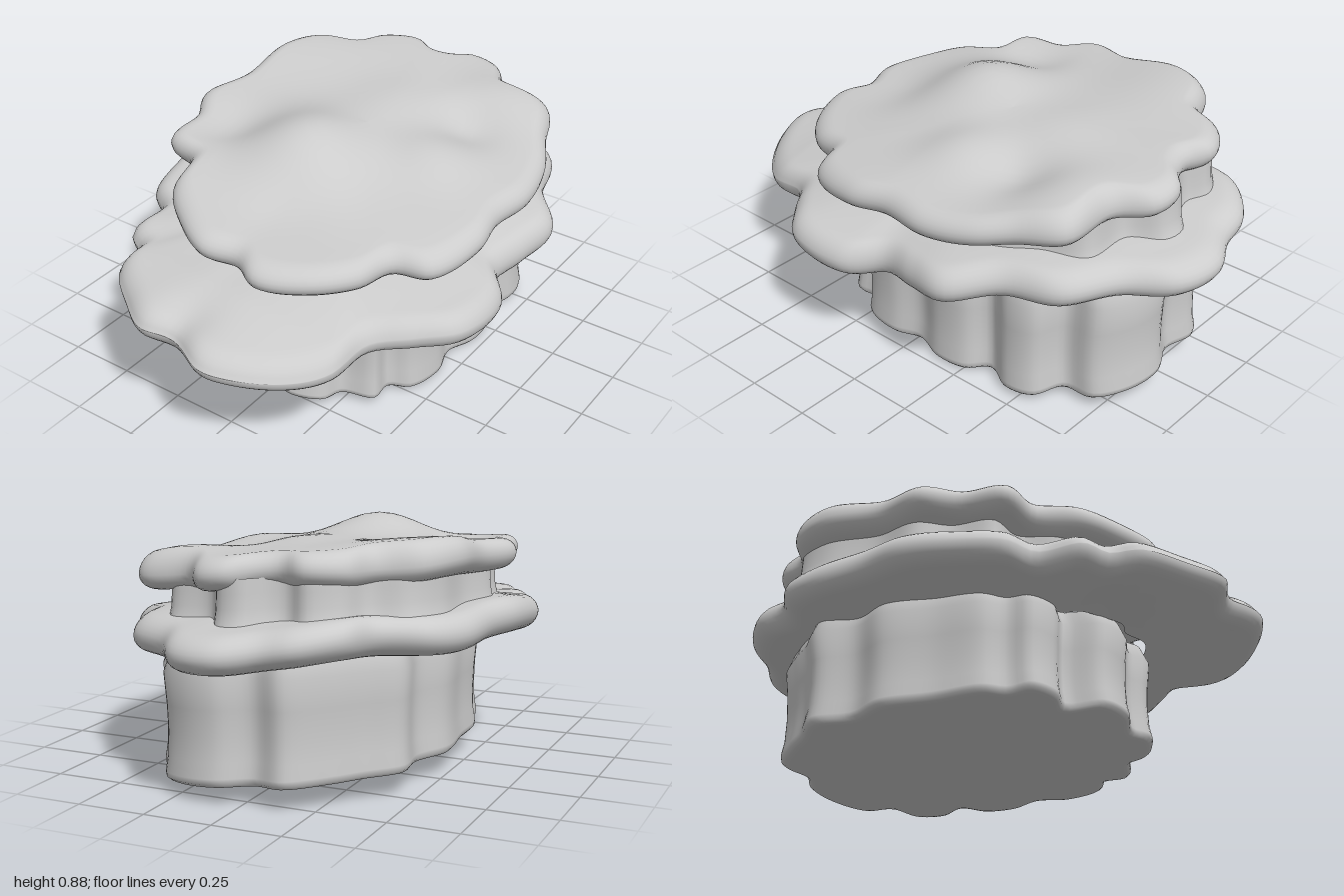
import * as THREE from 'three';

// Outlines as [x, z], running front -> right side -> back -> left side
const LOWER = [[.08, .995], [-.08, .93], [-.2, .955], [-.33, .88], [-.46, .77], [-.48, .65], [-.56, .59], [-.57, .42],
  [-.66, .35], [-.7, .16], [-.705, -.03], [-.67, -.19], [-.65, -.4], [-.58, -.56], [-.44, -.67], [-.38, -.82],
  [-.26, -.92], [-.14, -.94], [0, -1], [.16, -.96], [.28, -.82], [.46, -.7], [.53, -.5], [.66, -.34], [.64, -.18],
  [.61, -.03], [.7, .1], [.69, .34], [.58, .46], [.46, .57], [.43, .74], [.33, .87], [.18, .97]];
const UPPER = [[.1, .72], [-.01, .67], [-.14, .7], [-.3, .62], [-.4, .53], [-.45, .37], [-.58, .33], [-.6, .16],
  [-.67, .03], [-.62, -.16], [-.62, -.4], [-.55, -.55], [-.41, -.62], [-.35, -.74], [-.23, -.8], [-.13, -.76],
  [-.05, -.78], [.03, -.84], [.13, -.83], [.23, -.72], [.43, -.69], [.51, -.53], [.58, -.4], [.62, -.21],
  [.6, -.03], [.62, .13], [.56, .34], [.44, .4], [.39, .53], [.27, .65]];
const BASE = [[.1, .56], [.03, .52], [-.1, .55], [-.21, .51], [-.24, .38], [-.34, .39], [-.43, .34], [-.43, .25],
  [-.48, .18], [-.49, 0], [-.51, -.2], [-.45, -.34], [-.46, -.5], [-.36, -.61], [-.29, -.7], [-.16, -.82],
  [-.04, -.79], [.08, -.84], [.21, -.82], [.32, -.74], [.33, -.62], [.43, -.56], [.45, -.45], [.4, -.34],
  [.46, -.26], [.47, -.14], [.43, -.02], [.46, .1], [.43, .24], [.36, .29], [.36, .38], [.25, .43], [.22, .51]];
const NECK = UPPER.map(([x, z]) => [x * .85 - .045, z * .94 - .05]);

const bump = (x, z, cx, cz, r, h) => h * Math.exp(-((x - cx) ** 2 + (z - cz) ** 2) / (r * r));

// Stacks scaled copies of an outline from top to bottom.
// rings: [scale, value]; height(x, z, value, scale) gives y.
function loft(name, outline, rings, height, material) {
  const n = 192, cz = outline.reduce((sum, p) => sum + p[1], 0) / outline.length;
  const curve = new THREE.CatmullRomCurve3(outline.map(([x, z]) => new THREE.Vector3(x, 0, z)), true, 'centripetal');
  const edge = curve.getSpacedPoints(n);
  const pos = [], index = [];
  rings.forEach(([s, v], i) => {
    for (let j = 0; j < n; j++) {
      const x = edge[j].x * s, z = cz + (edge[j].z - cz) * s;
      pos.push(x, height(x, z, v, s), z);
      if (i + 1 < rings.length) {
        const a = i * n + j, b = i * n + (j + 1) % n;
        index.push(a, b, a + n, b, b + n, a + n);
      }
    }
  });
  const g = new THREE.BufferGeometry();
  g.setAttribute('position', new THREE.Float32BufferAttribute(pos, 3));
  g.setIndex(index);
  g.computeVertexNormals();
  const mesh = new THREE.Mesh(g, material);
  mesh.name = name;
  return mesh;
}

// Slab cross-section with a rounded rim; the faces stop at the given inner scales
function slabRings(half, rim, topInner, bottomInner) {
  const rings = [], flat = 1 - rim;
  for (let i = 0; i < 14; i++) rings.push([topInner + (flat - topInner) * i / 14, half]);
  for (let i = 0; i <= 12; i++) {
    const a = Math.PI / 2 - Math.PI * i / 12;
    rings.push([flat + rim * Math.cos(a), half * Math.sin(a)]);
  }
  for (let i = 1; i <= 5; i++) rings.push([flat + (bottomInner - flat) * i / 5, -half]);
  return rings;
}

export function createModel() {
  const group = new THREE.Group();
  const stone = new THREE.MeshStandardMaterial({ color: 0xcccccc });
  stone.name = 'grey stone';

  // Fluted foot with a tilted underside
  const floor = (x, z) => Math.max(0, .037 - .08 * x + .04 * z * z);
  const baseRings = [[.96, 1], [1, .85], [.985, .6], [.98, .4], [.985, .2], [1, .08], [.995, .035], [.975, .01],
    [.94, 0], [.6, 0], [.3, 0], [.001, 0]];
  group.add(loft('base', BASE, baseRings,
    (x, z, v) => THREE.MathUtils.lerp(floor(x, z), .455 - .06 * x - .065 * z, v), stone));

  // Wide lower slab, rising toward the back and the right side
  group.add(loft('lowerSlab', LOWER, slabRings(.064, .09, .6, .55), (x, z, v, s) => {
    const wave = s * s * (.014 * Math.sin(7 * x + 2 * z) + .012 * Math.sin(8 * z - 3 * x));
    const rise = v > 0 ? .08 * (1 - s) : .02 * Math.max(0, z);
    return .495 - .06 * x - .065 * z - .09 * Math.max(0, z - .7) + wave + rise + v
      - bump(x, z, -.07, .88, .09, .025);
  }, stone));

  // Recessed neck, nearly flush with the upper slab at the back
  group.add(loft('neck', NECK, [[.96, 0], [.965, .25], [.97, .5], [.985, .75], [1.02, 1]],
    (x, z, v) => THREE.MathUtils.lerp(.7 - .09 * x - .08 * z, .515 - .06 * x - .065 * z, v), stone));

  // Upper slab with an uneven, domed top
  group.add(loft('upperSlab', UPPER, slabRings(.056, .1, .001, .6), (x, z, v, s) => {
    const wave = s * s * (.01 * Math.sin(7 * x - 3 * z) + .008 * Math.sin(9 * z + 2 * x));
    const top = v > 0 ? (v / .056) * (bump(x, z, -.1, .13, .23, .112) + bump(x, z, 0, -.3, .2, .04)
      + bump(x, z, .28, -.1, .16, .045) + bump(x, z, .3, -.6, .18, .035) - bump(x, z, .28, -.36, .12, .035)
      + bump(x, z, -.45, -.45, .28, .03) - bump(x, z, -.42, .15, .14, .035)
      - bump(x, z, .02, .42, .14, .015)) : 0;
    return .717 - .09 * x - .08 * z - .02 * Math.max(0, z) + wave + top + v;
  }, stone));

  return group;
}
